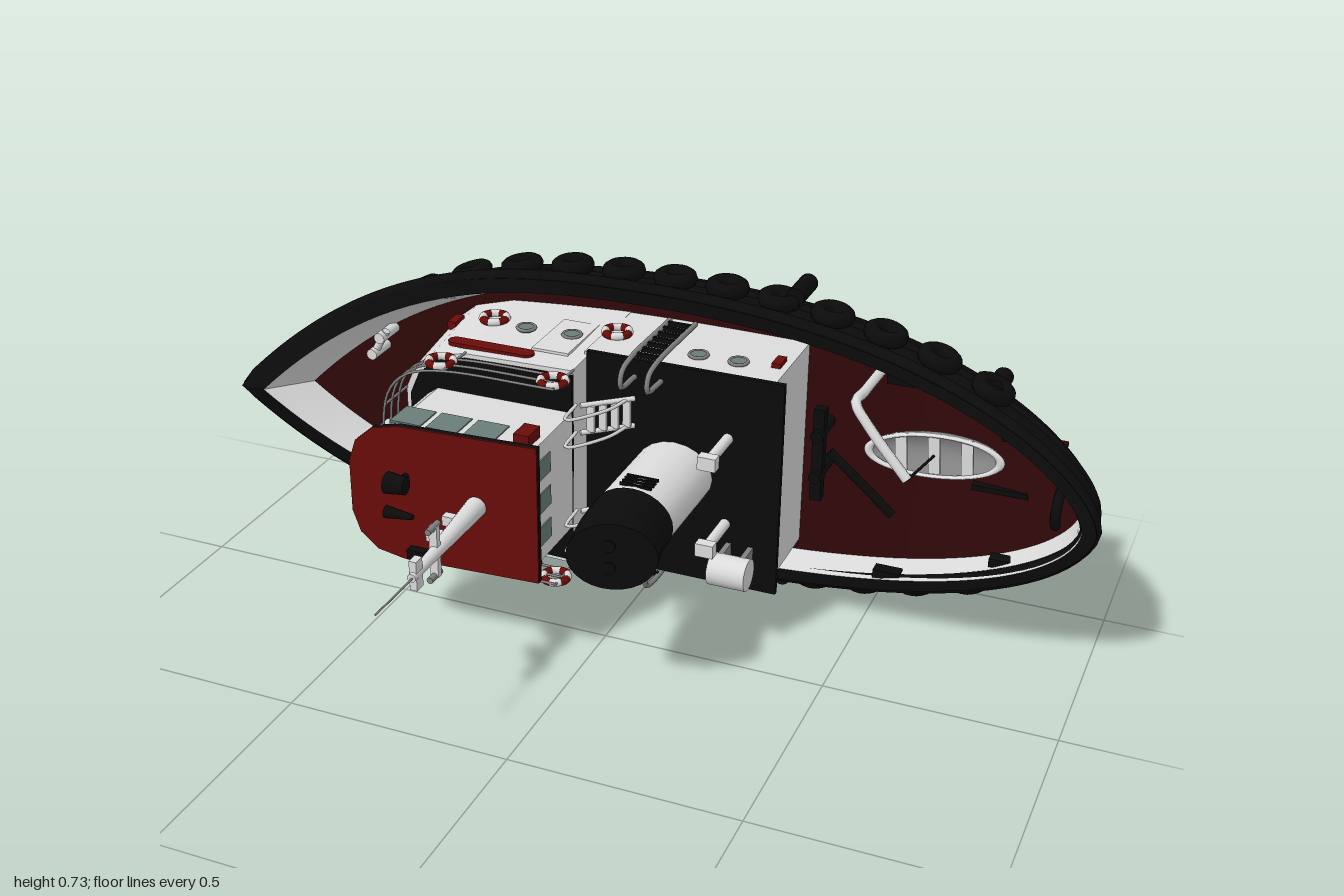
import * as THREE from 'three';

const M = {};
function mat(name, color, side = THREE.FrontSide) {
  M[name] = new THREE.MeshStandardMaterial({ color, side });
  M[name].name = name;
}
const V = (x, y, z) => new THREE.Vector3(x, y, z);

export function createModel() {
  const D = THREE.DoubleSide;
  mat('black', 0x0b0b0b, D); mat('hullRed', 0x310809, D); mat('brightRed', 0x690c09);
  mat('white', 0xdcdcdc, D); mat('grey', 0x808080, D); mat('glass', 0x6a7d78); mat('brass', 0x80692a, D);

  // The ship is modelled upright (bow at -x), then laid over so its masthead points to +z
  const root = new THREE.Group(), ship = new THREE.Group();
  root.name = 'tugboat'; ship.name = 'ship';
  ship.rotation.x = Math.PI / 2;
  ship.position.y = 0.37;
  root.add(ship);

  function add(name, geo, m, x = 0, y = 0, z = 0, rx = 0, ry = 0, rz = 0) {
    const mesh = new THREE.Mesh(geo, M[m]);
    mesh.name = name;
    mesh.position.set(x, y, z);
    mesh.rotation.set(rx, ry, rz);
    ship.add(mesh);
    return mesh;
  }
  const box = (n, w, h, d, m, ...p) => add(n, new THREE.BoxGeometry(w, h, d), m, ...p);
  const cyl = (n, r0, r1, h, m, ...p) => add(n, new THREE.CylinderGeometry(r0, r1, h, 20), m, ...p);
  const tube = (n, pts, r, m, closed = false, seg = pts.length * 6) =>
    add(n, new THREE.TubeGeometry(new THREE.CatmullRomCurve3(pts, closed, 'centripetal'), seg, r, 8, closed), m);
  function rod(n, a, b, r, m) {
    const mesh = cyl(n, r, r, a.distanceTo(b), m, (a.x + b.x) / 2, (a.y + b.y) / 2, (a.z + b.z) / 2);
    mesh.quaternion.setFromUnitVectors(V(0, 1, 0), b.clone().sub(a).normalize());
  }
  // Vertical prism from half an outline, mirrored across the centreline
  function prism(n, half, y0, y1, m) {
    const pts = [...half, ...half.slice().reverse().map(([x, z]) => [x, -z])];
    const shape = new THREE.Shape(pts.map(([x, z]) => new THREE.Vector2(x, z)));
    const g = new THREE.ExtrudeGeometry(shape, { depth: y1 - y0, bevelEnabled: false });
    g.rotateX(-Math.PI / 2);
    return add(n, g, m, 0, y0, 0);
  }
  function grid(n, nu, nv, fn, m) {
    const pos = [], idx = [];
    for (let i = 0; i <= nu; i++) for (let j = 0; j <= nv; j++) {
      const p = fn(i / nu, j / nv);
      pos.push(p.x, p.y, p.z);
      if (i < nu && j < nv) {
        const a = i * (nv + 1) + j, b = a + nv + 1;
        idx.push(a, b, a + 1, b, b + 1, a + 1);
      }
    }
    const g = new THREE.BufferGeometry();
    g.setAttribute('position', new THREE.Float32BufferAttribute(pos, 3));
    g.setIndex(idx);
    g.computeVertexNormals();
    add(n, g, m);
  }

  // Hull waterlines: stem x, stern x, half beam, then height at bow, middle and stern
  const levels = [
    [-0.45, 0.45, 0, -0.60, -0.635, -0.62], [-0.56, 0.50, 0.10, -0.585, -0.593, -0.58],
    [-0.66, 0.60, 0.215, -0.56, -0.545, -0.51], [-0.74, 0.82, 0.277, -0.50, -0.503, -0.45],
    [-0.80, 0.945, 0.31, -0.41, -0.468, -0.375], [-0.88, 0.985, 0.33, -0.29, -0.39, -0.30],
    [-0.995, 0.995, 0.328, -0.14, -0.30, -0.20]];
  const rimIn = [-0.935, 0.965, 0.298, -0.14, -0.30, -0.20], deckRow = [-0.85, 0.945, 0.285, -0.23, -0.38, -0.30];
  const plan = s => s < 0.45 ? 1 - Math.pow(1 - s / 0.45, 2.9)
    : Math.pow(Math.max(0, 1 - Math.pow((s - 0.45) / 0.55, 2.4)), 0.6);
  const at = ([x0, x1, hb, yb, ym, ys], s, side) =>
    V(x0 + s * (x1 - x0), ym + ((s < 0.5 ? yb : ys) - ym) * (1 - 2 * s) ** 2, side * hb * plan(s));
  const ease = u => (1 - Math.cos(Math.PI * u)) / 2;
  const skin = (s, f, side) => new THREE.CatmullRomCurve3(levels.map(l => at(l, s, side))).getPoint(f);
  grid('lowerHull', 64, 32, (u, v) => skin(ease(u), Math.abs(2 * v - 1) * 4 / 6, v < 0.5 ? -1 : 1), 'hullRed');
  for (const k of [-1, 1]) {
    grid('upperHull', 64, 10, (u, v) => skin(ease(u), (4 + 2 * v) / 6, k), 'black');
    grid('bulwarkTop', 64, 1, (u, v) => at(levels[6], ease(u), k).lerp(at(rimIn, ease(u), k), v), 'black');
    grid('bulwarkInside', 64, 1, (u, v) => at(rimIn, ease(u), k).lerp(at(deckRow, ease(u), k), v), 'white');
  }
  grid('mainDeck', 64, 2, (u, v) => at(deckRow, ease(u), 2 * v - 1), 'hullRed');

  // Rubbing belts around the hull
  const belt = (row, dy, r) => {
    const pts = [];
    for (let i = 0; i < 60; i++) {
      const u = i / 30, p = at(row, ease(u <= 1 ? u : 2 - u), u <= 1 ? 1 : -1);
      pts.push(V(p.x * 0.985, p.y + dy, p.z * 0.975));
    }
    tube('rubbingBelt', pts, r, 'black', true, 180);
  };
  belt(levels[6], -0.022, 0.022);
  belt(levels[5], 0.0, 0.017);

  // Tyre fenders and roller fenders
  for (const k of [-1, 1]) {
    for (let i = 0; i < 13; i++) {
      const s = 0.085 + i * 0.065, a = at(levels[5], s - 0.01, k), b = at(levels[5], s + 0.01, k);
      const p = at(levels[5], s, k);
      add('tyreFender', new THREE.TorusGeometry(0.031, 0.018, 10, 20), 'black',
        p.x, p.y + 0.015, p.z + k * 0.014, 0, -Math.atan2(b.z - a.z, b.x - a.x), 0);
    }
    cyl('rollerFender', 0.021, 0.021, 0.095, 'black', 0.285, -0.41, k * 0.346);
    cyl('rollerFender', 0.021, 0.021, 0.095, 'black', 0.735, -0.37, k * 0.22);
    // Anchor on the bow
    rod('anchorShank', V(-0.72, -0.37, k * 0.13), V(-0.76, -0.45, k * 0.12), 0.008, 'black');
    add('anchorFlukes', new THREE.TorusGeometry(0.035, 0.008, 8, 14, Math.PI), 'black', -0.755, -0.425, k * 0.125, 0, 0, 2.7);
    // Bow bollards
    for (const d of [-0.022, 0.022]) cyl('bowBollard', 0.013, 0.013, 0.09, 'white', -0.67 + d * 0.5, -0.26, k * (0.125 + d));
    rod('bollardBar', V(-0.69, -0.235, k * 0.09), V(-0.65, -0.235, k * 0.16), 0.009, 'white');
    for (const x of [0.55, 0.8]) box('sternCleat', 0.06, 0.03, 0.02, 'black', x, -0.29, k * (x > 0.7 ? 0.15 : 0.235));
  }

  // Keel, rudder and propeller
  box('keelBar', 0.39, 0.022, 0.016, 'hullRed', 0.545, -0.624, 0);
  prism('skeg', [[0.25, 0.012], [0.57, 0.008]], -0.62, -0.5, 'hullRed');
  box('rudder', 0.14, 0.17, 0.012, 'hullRed', 0.79, -0.517, 0);
  cyl('rudderStock', 0.009, 0.009, 0.1, 'hullRed', 0.76, -0.42, 0);
  cyl('propellerHub', 0.008, 0.014, 0.07, 'brass', 0.615, -0.562, 0, 0, 0, -Math.PI / 2);
  for (let i = 0; i < 3; i++) {
    const a = i * Math.PI * 2 / 3;
    const blade = add('propellerBlade', new THREE.SphereGeometry(1, 12, 8), 'brass', 0.625, -0.562 + 0.032 * Math.cos(a), 0.032 * Math.sin(a), a, 0.6, 0);
    blade.scale.set(0.006, 0.025, 0.02);
  }

  // Forward deckhouse, narrowing upwards, with the bridge deck on top
  const house = [[-0.1, 0.245], [-0.38, 0.24], [-0.47, 0.22], [-0.515, 0.185], [-0.54, 0.13]];
  const taper = ([x, z]) => [-0.1 + (x + 0.1) * 0.91, z * 0.955];
  const houseTop = house.map(taper);
  const houseGeo = prism('forwardDeckhouse', house, -0.39, -0.055, 'white').geometry;
  const hp = houseGeo.attributes.position;
  for (let i = 0; i < hp.count; i++) if (hp.getY(i) > 0.1) {
    const [x, z] = taper([hp.getX(i), hp.getZ(i)]);
    hp.setXYZ(i, x, hp.getY(i), z);
  }
  houseGeo.computeVertexNormals();
  prism('bridgeDeck', houseTop.map(([x, z]) => [x < -0.4 ? x + 0.012 : x, z - 0.01]), -0.06, -0.05, 'black');

  // Aft deckhouse and its roof
  box('aftDeckhouse', 0.43, 0.25, 0.486, 'white', 0.105, -0.265, 0);
  box('aftRoof', 0.445, 0.012, 0.5, 'black', 0.1225, -0.134, 0);

  // Bridge railing
  const railAt = (y, k) => houseTop.map(([x, z]) => V(x, y, k * z));
  for (const k of [-1, 1]) for (const p of railAt(-0.06, k)) rod('railPost', p, V(p.x, 0.045, p.z), 0.003, 'grey');
  for (const y of [-0.02, 0.012, 0.045])
    tube('bridgeRail', [...railAt(y, 1), ...railAt(y, -1).reverse()], 0.003, 'grey', false, 60);

  // Wheelhouse with windows
  prism('wheelhouse', [[-0.1, 0.138], [-0.42, 0.138], [-0.445, 0.12], [-0.455, 0.09]], -0.05, 0.168, 'white');
  // Sloping roof: black slab with a red top
  const roofHalf = [[-0.08, 0.158], [-0.39, 0.158], [-0.45, 0.145], [-0.49, 0.11], [-0.507, 0.06]];
  for (const [n, y0, h, m] of [['wheelhouseRoofEdge', 0.15, 0.013, 'black'], ['wheelhouseRoofTop', 0.163, 0.003, 'brightRed']]) {
    const roof = prism(n, roofHalf, 0, h, m);
    roof.position.y = y0;
    roof.rotation.z = -0.06;
  }
  for (const z of [-0.06, 0, 0.06]) {
    box('frontWindow', 0.006, 0.075, 0.05, 'glass', -0.455, 0.1, z);
    box('aftWindow', 0.006, 0.07, 0.045, 'glass', -0.1, 0.1, z * 1.3);
  }
  for (const k of [-1, 1]) {
    for (const x of [-0.4, -0.315, -0.228]) box('sideWindow', 0.072, 0.075, 0.006, 'glass', x, 0.1, k * 0.138);
    box('sideLight', 0.035, 0.055, 0.026, 'brightRed', -0.13, 0.11, k * 0.152);

    // Lifebuoys, portholes, name board and side doors
    for (const [x, y, z] of [[-0.37, -0.235, 0.24], [-0.08, -0.25, 0.25], [-0.38, 0.005, 0.232], [-0.115, 0.01, 0.236]])
      for (let q = 0; q < 8; q++)
        add('lifebuoy', new THREE.TorusGeometry(0.027, 0.009, 8, 5, Math.PI / 4), q % 2 ? 'white' : 'brightRed', x, y, k * z, 0, 0, q * Math.PI / 4);
    for (const [x, z] of [[-0.28, 0.238], [-0.17, 0.24], [0.125, 0.244], [0.215, 0.244]]) {
      cyl('porthole', 0.018, 0.018, 0.012, 'glass', x, -0.21, k * z, Math.PI / 2);
      add('portholeRim', new THREE.TorusGeometry(0.02, 0.004, 6, 20), 'grey', x, -0.21, k * (z + 0.004));
    }
    box('nameBoard', 0.17, 0.034, 0.009, 'brightRed', -0.31, -0.095, k * 0.234);
    for (const x of [-0.395, -0.225]) cyl('nameBoardEnd', 0.017, 0.017, 0.009, 'brightRed', x, -0.095, k * 0.234, Math.PI / 2);
    box('sideDoor', 0.085, 0.17, 0.006, 'white', -0.18, -0.2, k * 0.239);
    for (const x of [-0.47, 0.295]) box('ventPanel', 0.02, 0.045, 0.02, 'brightRed', x, -0.24, k * (x < 0 ? 0.21 : 0.243));

    // Roof ladders with curved handrails
    for (const x of [0.012, 0.072])
      tube('ladderRail', [V(x, -0.33, k * 0.262), V(x, -0.09, k * 0.262), V(x, -0.055, k * 0.25), V(x, -0.05, k * 0.22), V(x, -0.13, k * 0.21)], 0.006, 'grey');
    for (let i = 0; i < 7; i++) box('ladderRung', 0.06, 0.008, 0.01, 'black', 0.042, -0.31 + i * 0.03, k * 0.262);

    // Steps from the aft roof up to the bridge deck, with handrails
    for (let i = 0; i < 4; i++) box('stairTread', 0.018, 0.008, 0.06, 'white', 0.0 - i * 0.02, -0.115 + i * 0.018, k * 0.127);
    for (const d of [-0.032, 0.032]) {
      rod('stairStringer', V(0.012, -0.128, k * 0.127 + d), V(-0.08, -0.05, k * 0.127 + d), 0.006, 'white');
      tube('stairHandrail', [V(0.0, -0.12, k * 0.127 + d), V(-0.02, -0.05, k * 0.127 + d), V(-0.08, 0.025, k * 0.127 + d), V(-0.09, -0.05, k * 0.127 + d)], 0.004, 'white');
    }
    // Funnel exhaust pipes
    cyl('exhaustPipe', 0.014, 0.014, 0.06, 'black', 0.115, 0.235, k * 0.025, 0, 0, -0.15);
  }

  // Funnel with raked black cap
  const funnel = cyl('funnel', 0.088, 0.088, 0.25, 'white', 0.105, -0.015, 0);
  funnel.scale.z = 0.83;
  const capGeo = new THREE.CylinderGeometry(0.09, 0.09, 0.155, 28, 4);
  const cp = capGeo.attributes.position;
  for (let i = 0; i < cp.count; i++) {
    const t = cp.getY(i) / 0.155 + 0.5, x = cp.getX(i);
    cp.setXYZ(i, x + 0.02 * t * t, cp.getY(i) - t * x * 0.28, cp.getZ(i) * 0.83);
  }
  capGeo.computeVertexNormals();
  add('funnelCap', capGeo, 'black', 0.105, 0.182, 0);
  for (const k of [-1, 1]) for (let i = 0; i < 4; i++) box('funnelGrille', 0.07, 0.005, 0.006, 'black', 0.105, 0.05 + i * 0.013, k * 0.073);

  // Mast, crosstrees and aerial
  cyl('mast', 0.009, 0.024, 0.33, 'white', -0.21, 0.325, 0, 0, 0, -0.05);
  cyl('aerial', 0.002, 0.002, 0.16, 'grey', -0.2, 0.555, 0);
  box('crosstree', 0.018, 0.014, 0.115, 'white', -0.21, 0.375, 0);
  box('upperCrosstree', 0.016, 0.026, 0.065, 'white', -0.203, 0.468, 0);
  for (const y of [0.25, 0.32, 0.4]) box('mastLamp', 0.04, 0.02, 0.022, y > 0.35 ? 'black' : 'white', -0.235, y, 0);
  for (const z of [-0.055, 0.055]) cyl('mastLight', 0.007, 0.007, 0.045, 'grey', -0.21, 0.38, z);

  // Searchlight and horn
  cyl('searchlightPost', 0.007, 0.007, 0.07, 'black', -0.375, 0.205, -0.045);
  cyl('searchlight', 0.024, 0.019, 0.045, 'black', -0.375, 0.23, -0.045, 0, 0, Math.PI / 2);
  cyl('horn', 0.014, 0.006, 0.065, 'black', -0.39, 0.2, 0.045, 0, 0, Math.PI / 2);

  // Roof equipment
  cyl('liferaft', 0.036, 0.036, 0.085, 'white', 0.26, -0.07, 0.18, 0, 0, Math.PI / 2);
  for (const x of [0.235, 0.285]) box('liferaftCradle', 0.012, 0.06, 0.07, 'grey', x, -0.105, 0.18);
  for (const z of [-0.105, 0.1]) {
    cyl('roofVent', 0.012, 0.012, 0.12, 'white', 0.225, -0.07, z);
    box('roofVentHead', 0.04, 0.025, 0.03, 'white', 0.225, -0.01, z);
  }

  // Towing gear
  for (const z of [-0.07, 0.03]) cyl('towPost', 0.014, 0.014, 0.11, 'black', 0.375, -0.33, z);
  box('towBeam', 0.025, 0.025, 0.22, 'black', 0.375, -0.3, -0.02);
  rod('towHook', V(0.4, -0.3, -0.03), V(0.545, -0.31, 0.1), 0.01, 'black');
  add('sternTowArch', new THREE.TorusGeometry(0.04, 0.011, 8, 20, Math.PI), 'black', 0.9, -0.3, 0, 0, Math.PI / 2, -0.6);
  box('deckHatch', 0.12, 0.03, 0.012, 'black', 0.77, -0.33, 0);

  // Davit and dinghy
  tube('davit', [V(0.5, -0.36, -0.235), V(0.495, -0.2, -0.235), V(0.495, -0.135, -0.235), V(0.53, -0.12, -0.195), V(0.62, -0.105, -0.1)], 0.011, 'white');
  rod('davitWire', V(0.62, -0.105, -0.1), V(0.64, -0.24, -0.095), 0.003, 'black');
  const dinghy = add('dinghy', new THREE.SphereGeometry(1, 28, 10, 0, Math.PI * 2, Math.PI / 2, Math.PI / 2), 'grey', 0.64, -0.24, -0.095, 0, 0.08, 0);
  dinghy.scale.set(0.145, 0.06, 0.05);
  const gunwale = add('dinghyGunwale', new THREE.TorusGeometry(1, 0.07, 8, 40), 'white', 0.64, -0.24, -0.095, Math.PI / 2, 0, -0.08);
  gunwale.scale.set(0.14, 0.047, 0.1);
  for (const x of [-0.07, 0, 0.07]) box('dinghySeat', 0.025, 0.006, 0.085, 'white', 0.64 + x, -0.245, -0.095 - x * 0.08, 0, 0.08, 0);
  return root;
}
